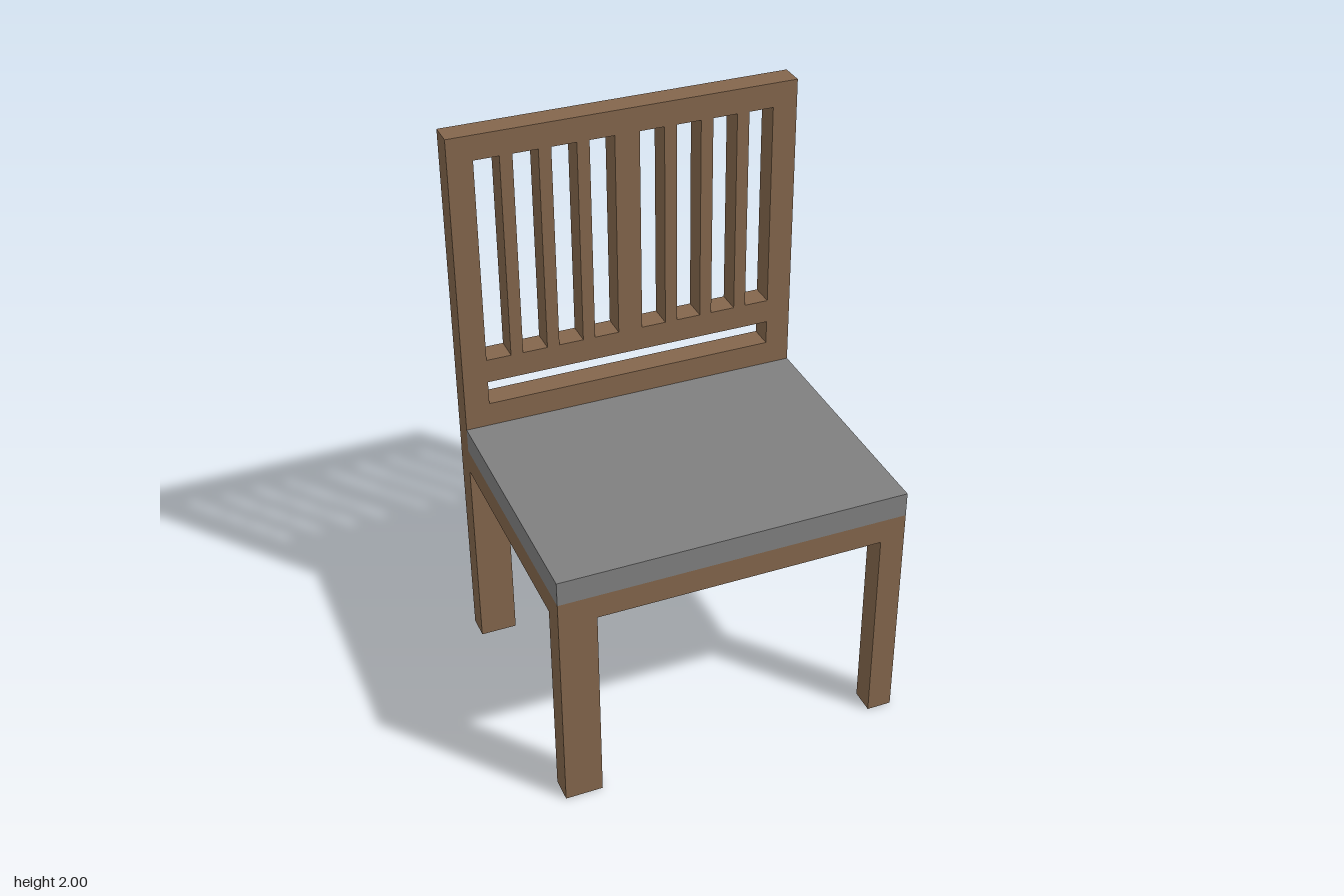
import * as THREE from 'three';

// Everything sits on a 46-step height module
const U = 2 / 46;

export function createModel() {
  const wood = new THREE.MeshStandardMaterial({ color: 0x83664c });
  wood.name = 'brown wood';
  const fabric = new THREE.MeshStandardMaterial({ color: 0x7f7f7f });
  fabric.name = 'grey cushion';

  const chair = new THREE.Group();
  chair.name = 'chair';

  // Box given by its min and max corners, in modules
  const box = (name, material, [x0, y0, z0], [x1, y1, z1]) => {
    const geometry = new THREE.BoxGeometry((x1 - x0) * U, (y1 - y0) * U, (z1 - z0) * U);
    const mesh = new THREE.Mesh(geometry, material);
    mesh.position.set((x0 + x1) * U / 2, (y0 + y1) * U / 2, (z0 + z1) * U / 2);
    mesh.name = name;
    chair.add(mesh);
  };

  // Back frame: rear legs, rails and slats cut from one board
  const outline = [[-14, 0], [-11, 0], [-11, 17], [12, 17], [12, 0], [14, 0], [14, 46], [-14, 46]];
  const board = new THREE.Shape(outline.map(([x, y]) => new THREE.Vector2(x * U, y * U)));
  const cutOpening = (x0, y0, x1, y1) => {
    const corners = [[x0, y0], [x0, y1], [x1, y1], [x1, y0]];
    board.holes.push(new THREE.Path(corners.map(([x, y]) => new THREE.Vector2(x * U, y * U))));
  };
  cutOpening(-12, 23, 12, 25);
  for (const x of [1, 4, 7, 10]) {
    cutOpening(x, 27, x + 2, 44);
    cutOpening(-x - 2, 27, -x, 44);
  }
  const back = new THREE.Mesh(
    new THREE.ExtrudeGeometry(board, { depth: 2 * U, bevelEnabled: false }), wood);
  back.position.z = -11.5 * U;
  back.name = 'backFrameAndRearLegs';
  chair.add(back);

  // Seat base and cushion
  box('seatBase', wood, [-14, 17, -9.5], [14, 19, 11.5]);
  box('seatCushion', fabric, [-14, 19, -9.5], [14, 21, 11.5]);

  // Front legs: the one on the -x side is wider
  box('frontLegRight', wood, [-14, 0, 9.5], [-11, 17, 11.5]);
  box('frontLegLeft', wood, [12, 0, 9.5], [14, 17, 11.5]);

  return chair;
}
